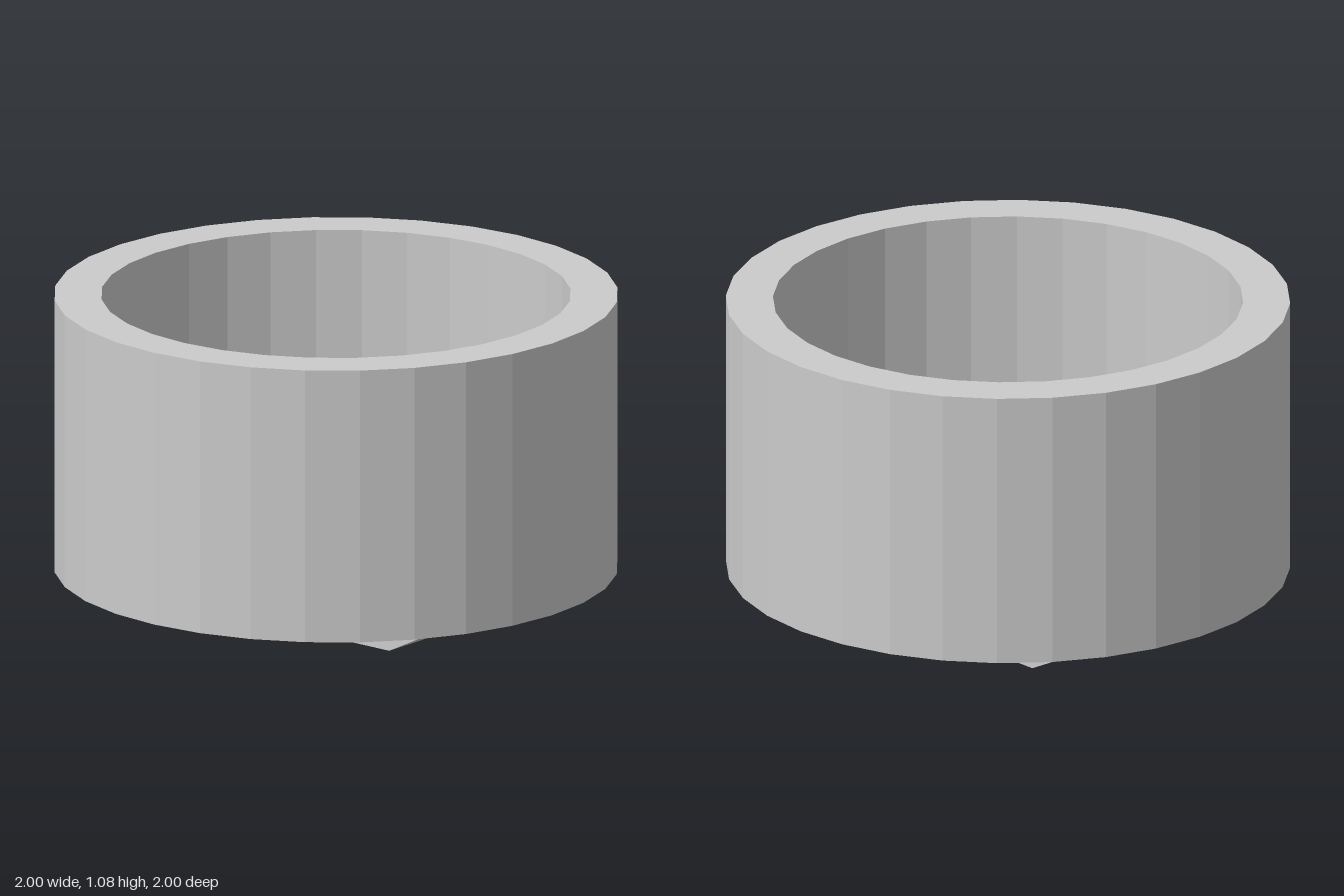
import * as THREE from 'three';

const FOOT_H = 0.083, TOP = 1.083, FLOOR = 0.25;
const OUTER_R = 1, INNER_R = 0.833, SIDES = 32;
const FOOT_W = 0.167, FOOT_X = 0.4165;

export function createModel() {
  const model = new THREE.Group();
  model.name = 'footedBowl';
  const material = new THREE.MeshStandardMaterial({ color: 0xcccccc, flatShading: true });

  // Straight-walled bowl: underside, outer wall, rim, inner wall, floor
  const profile = [
    [0, FOOT_H], [OUTER_R, FOOT_H], [OUTER_R, TOP],
    [INNER_R, TOP], [INNER_R, FLOOR], [0, FLOOR],
  ].map(([r, y]) => new THREE.Vector2(r, y));
  const bowl = new THREE.Mesh(new THREE.LatheGeometry(profile, SIDES), material);
  bowl.name = 'bowl';
  model.add(bowl);

  // Two foot bars running front to back, with sloped ends
  const side = new THREE.Shape([
    [-0.667, 0], [0.667, 0], [0.833, FOOT_H], [-0.833, FOOT_H],
  ].map(([z, y]) => new THREE.Vector2(z, y)));
  const footGeometry = new THREE.ExtrudeGeometry(side, { depth: FOOT_W, bevelEnabled: false });
  footGeometry.translate(0, 0, -FOOT_W / 2).rotateY(Math.PI / 2);
  for (const [name, sign] of [['leftFoot', 1], ['rightFoot', -1]]) {
    const foot = new THREE.Mesh(footGeometry, material);
    foot.name = name;
    foot.position.x = sign * FOOT_X;
    model.add(foot);
  }
  return model;
}
